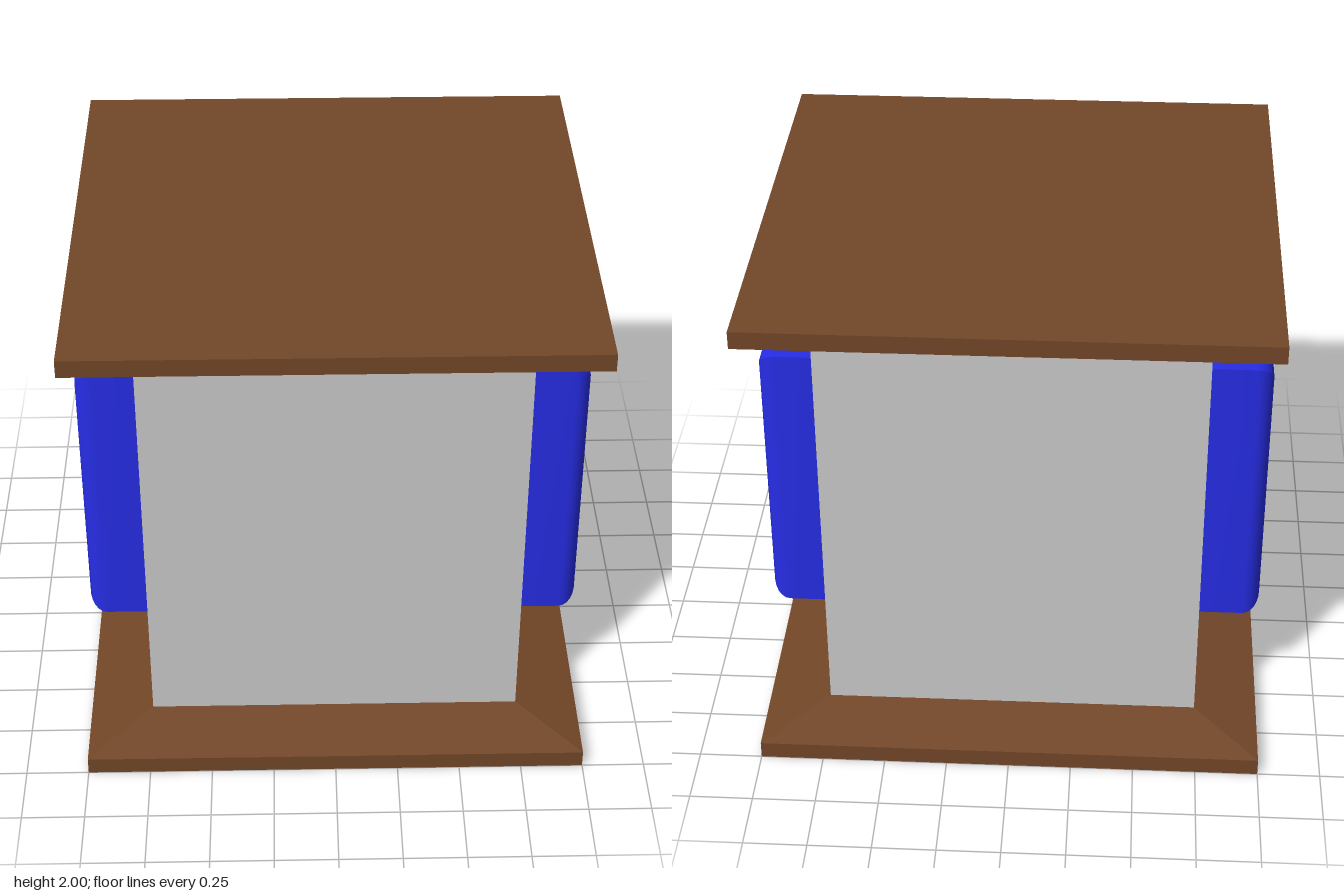
import * as THREE from 'three';
import { toCreasedNormals } from 'three/addons/utils/BufferGeometryUtils.js';

const wood = new THREE.MeshStandardMaterial({ color: 0x734728, flatShading: true });
const grey = new THREE.MeshStandardMaterial({ color: 0xcccccc });
const blue = new THREE.MeshStandardMaterial({ color: 0x272de6 });

function addMesh(parent, name, geometry, material) {
  const mesh = new THREE.Mesh(geometry, material);
  mesh.name = name;
  parent.add(mesh);
  return mesh;
}

// Square slab whose inner face slopes up to meet the body
function plateGeometry() {
  const profile = [[0, 0], [1, 0], [1, 0.07], [0.745, 0.12], [0, 0.12]]
    .map(([r, y]) => new THREE.Vector2(r * Math.SQRT2, y));
  return new THREE.LatheGeometry(profile, 4, Math.PI / 4);
}

// Upside-down U with rounded edges on its outward face and a flat back at z = 0
function handleGeometry(depth, bevel) {
  const outer = 0.495, inner = 0.25, bottom = 0.42, top = 1.59, underside = 1.3;
  const shape = new THREE.Shape([
    [-outer, bottom], [-inner, bottom], [-inner, underside], [inner, underside],
    [inner, bottom], [outer, bottom], [outer, top], [-outer, top],
  ].map(([x, y]) => new THREE.Vector2(x, y)));
  const geometry = new THREE.ExtrudeGeometry(shape, {
    depth: depth - bevel, bevelEnabled: true, bevelThickness: bevel,
    bevelSize: bevel, bevelOffset: -bevel, bevelSegments: 6,
  });
  // Flatten the rear bevel against the body
  const pos = geometry.attributes.position;
  for (let i = 0; i < pos.count; i++) pos.setZ(i, Math.max(0, pos.getZ(i)));
  return toCreasedNormals(geometry, 0.6);
}

export function createModel() {
  const model = new THREE.Group();
  model.name = 'box with handles';

  // Body between the two plates
  addMesh(model, 'body', new THREE.BoxGeometry(1.49, 1.76, 1.49), grey).position.y = 1;

  // Base and lid are the same plate, one turned over
  const plate = plateGeometry();
  addMesh(model, 'basePlate', plate, wood);
  const lid = addMesh(model, 'topPlate', plate, wood);
  lid.rotation.x = Math.PI;
  lid.position.y = 2;

  // One handle on each side
  const handle = handleGeometry(0.255, 0.07);
  for (const [name, side] of [['leftHandle', 1], ['rightHandle', -1]]) {
    const mesh = addMesh(model, name, handle, blue);
    mesh.rotation.y = side * Math.PI / 2;
    mesh.position.x = side * 0.745;
  }
  return model;
}
